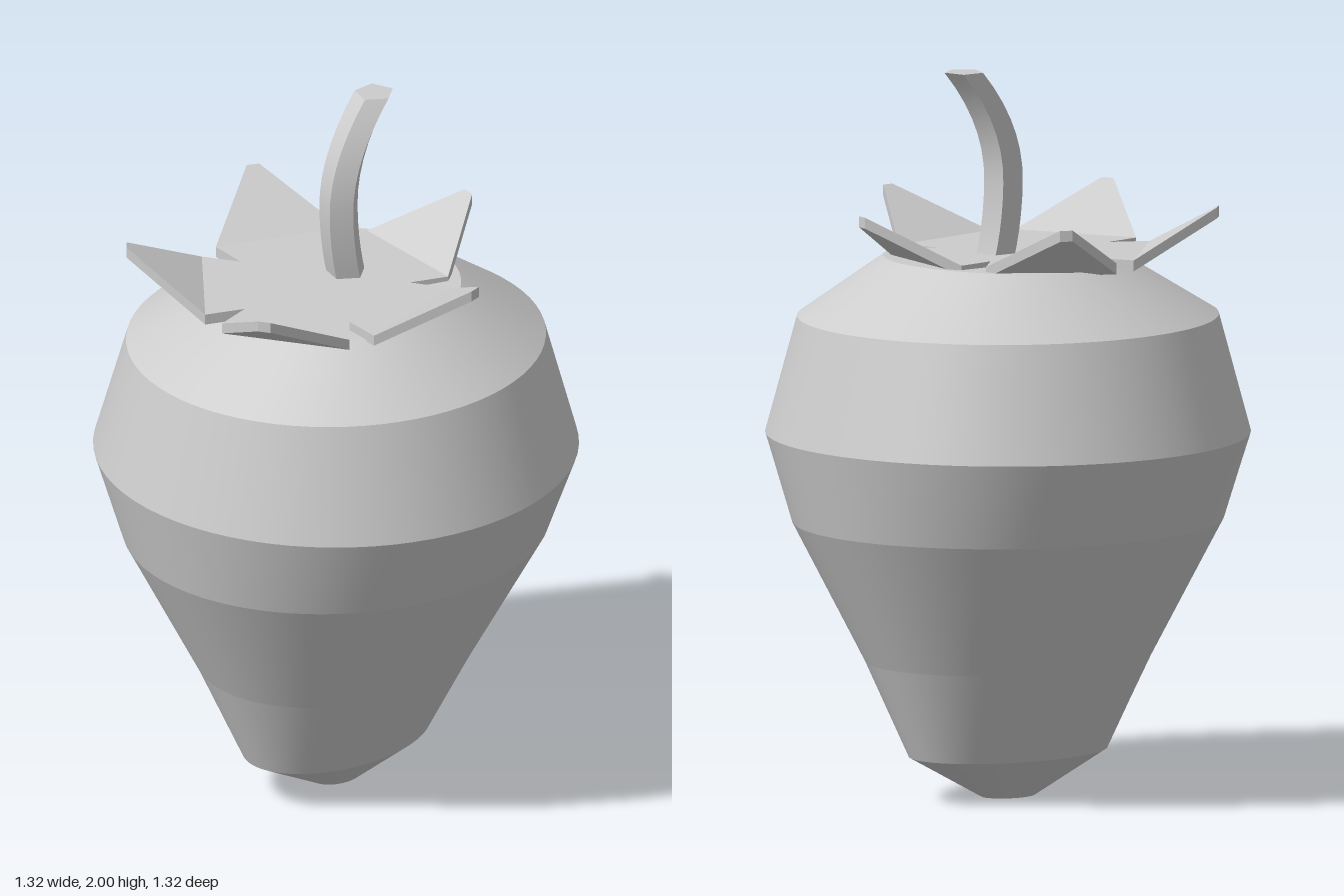
import * as THREE from 'three';
import { mergeVertices, mergeGeometries, toCreasedNormals } from 'three/addons/utils/BufferGeometryUtils.js';

const lightGrey = new THREE.MeshStandardMaterial({ color: 0xcccccc });
lightGrey.name = 'lightGrey';

const SIDES = 72;

// Fruit rings: height, x radius, z radius, slope along z
const RINGS = [
  [0, 0.06, 0.08, 0],
  [0.12, 0.2, 0.3, 0],
  [0.38, 0.345, 0.41, 0],
  [0.76, 0.56, 0.6, 0],
  [1.0, 0.66, 0.66, 0],
  [1.32, 0.56, 0.58, 0],
  [1.475, 0.34, 0.34, -0.03],
];

function addMesh(parent, geometry, name) {
  const mesh = new THREE.Mesh(geometry, lightGrey);
  mesh.name = name;
  parent.add(mesh);
  return mesh;
}

// One band between two elliptical rings, smooth around and sharp at its rims
function band(lower, upper) {
  let g = new THREE.CylinderGeometry(1, 1, 2, SIDES, 1, true);
  const p = g.attributes.position;
  for (let i = 0; i < p.count; i++) {
    const [y, rx, rz, slope] = p.getY(i) > 0 ? upper : lower;
    const z = p.getZ(i) * rz;
    p.setXYZ(i, p.getX(i) * rx, y + slope * z, z);
  }
  g.deleteAttribute('uv');
  g.deleteAttribute('normal');
  g = mergeVertices(g);
  g.computeVertexNormals();
  return g;
}

// Flat cap over a ring; dir is 1 for up, -1 for down
function cap([y, rx, rz, slope], dir) {
  const g = new THREE.CircleGeometry(1, SIDES).rotateX(-dir * Math.PI / 2);
  const p = g.attributes.position;
  for (let i = 0; i < p.count; i++) {
    const z = p.getZ(i) * rz;
    p.setXYZ(i, p.getX(i) * rx, y + slope * z, z);
  }
  g.computeVertexNormals();
  return g;
}

// Horizontal plate from [x, z] points
function plate(points, thickness) {
  const shape = new THREE.Shape(points.map(([x, z]) => new THREE.Vector2(x, -z)));
  return new THREE.ExtrudeGeometry(shape, { depth: thickness, bevelEnabled: false }).rotateX(-Math.PI / 2);
}

function makeFruit() {
  const fruit = new THREE.Group();
  fruit.name = 'fruit';
  for (let i = 0; i < RINGS.length - 1; i++) {
    addMesh(fruit, band(RINGS[i], RINGS[i + 1]), 'fruitBand' + (i + 1));
  }
  addMesh(fruit, cap(RINGS[0], -1), 'fruitTip');
  addMesh(fruit, cap(RINGS[RINGS.length - 1], 1), 'fruitTop');
  return fruit;
}

// Five-pointed leaf crown: flat core with upturned leaves
function makeCrown() {
  const crown = new THREE.Group();
  crown.name = 'leafCrown';
  crown.position.set(-0.007, 1.465, 0.063);
  const foldA = [-0.148, -0.328], foldB = [0.212, -0.288], notch = [0.167, -0.188];
  const tips = [[0.037, -0.518], [0.072, -0.513]];

  const core = [];
  for (let i = 0; i < 5; i++) {
    const a = i * Math.PI * 2 / 5, c = Math.cos(a), s = Math.sin(a);
    for (const [x, z] of [foldA, foldB, notch]) core.push([x * c - z * s, x * s + z * c]);
  }
  addMesh(crown, plate(core, 0.03), 'crownCore');

  // Lift each leaf in proportion to its distance from the fold
  const leaf = plate([foldA, ...tips, foldB], 0.03);
  const p = leaf.attributes.position;
  const n = new THREE.Vector2(foldB[1] - foldA[1], foldA[0] - foldB[0]).normalize();
  for (let i = 0; i < p.count; i++) {
    const d = (p.getX(i) - foldA[0]) * n.x + (p.getZ(i) - foldA[1]) * n.y;
    p.setY(i, p.getY(i) + 0.6 * d);
  }
  leaf.computeVertexNormals();
  for (let i = 0; i < 5; i++) {
    addMesh(crown, leaf, 'leaf' + (i + 1)).rotation.y = -i * Math.PI * 2 / 5;
  }
  return crown;
}

// Five-sided stem curving backwards
function makeStem() {
  const g = new THREE.CylinderGeometry(0.055, 0.055, 0.53, 5, 12, false, Math.PI / 2);
  g.translate(-0.01, 1.735, 0);
  const p = g.attributes.position;
  for (let i = 0; i < p.count; i++) {
    const t = p.getY(i) - 1.7;
    p.setZ(i, p.getZ(i) - 0.022 - (t > 0 ? 1.47 : 0.6) * t * t);
  }
  return toCreasedNormals(g, 0.6);
}

export function createModel() {
  const model = new THREE.Group();
  model.name = 'strawberry';
  model.add(makeFruit(), makeCrown());
  addMesh(model, makeStem(), 'stem');
  return model;
}
